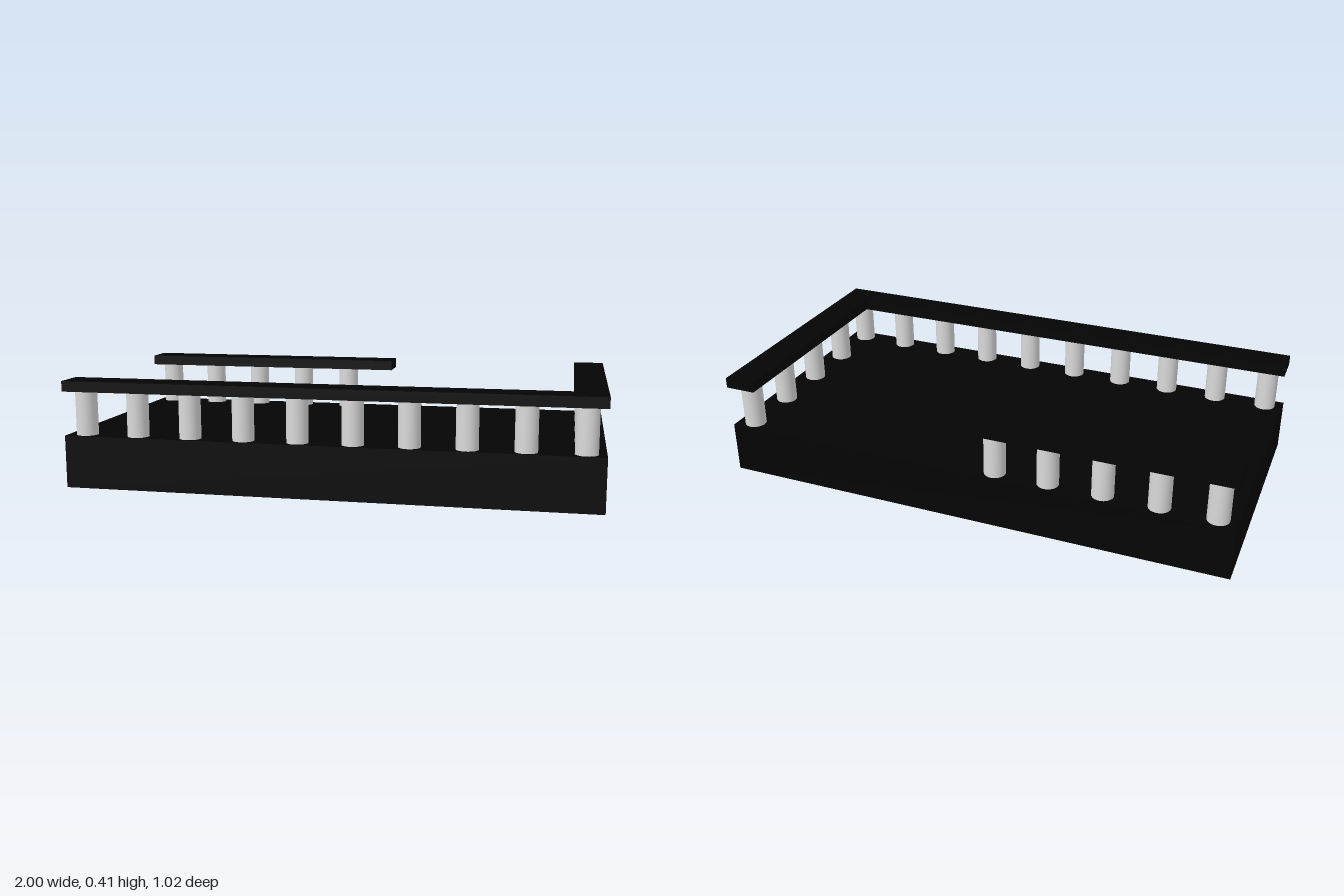
import * as THREE from 'three';

export function createModel() {
  const group = new THREE.Group();
  const black = new THREE.MeshStandardMaterial({ name: 'black', color: 0x040404 });
  const paleGrey = new THREE.MeshStandardMaterial({ name: 'paleGrey', color: 0xd9d9d9 });

  // Box given by its minimum and maximum corners
  const addBox = (name, [x0, y0, z0], [x1, y1, z1]) => {
    const mesh = new THREE.Mesh(new THREE.BoxGeometry(x1 - x0, y1 - y0, z1 - z0), black);
    mesh.name = name;
    mesh.position.set((x0 + x1) / 2, (y0 + y1) / 2, (z0 + z1) / 2);
    group.add(mesh);
  };

  // Floor slab
  addBox('floorSlab', [-1, 0, -0.5], [1, 0.2, 0.5]);

  // Handrails: full front, one side, and half of the back
  const low = 0.37, high = 0.41;
  addBox('frontRail', [-1, low, 0.39], [1, high, 0.51]);
  addBox('sideRail', [0.88, low, -0.51], [1, high, 0.39]);
  addBox('backRail', [-1, low, -0.51], [0.1, high, -0.39]);

  // Round balusters
  const postGeometry = new THREE.CylinderGeometry(0.041, 0.041, low - 0.2, 32);
  const addPost = (name, x, z) => {
    const post = new THREE.Mesh(postGeometry, paleGrey);
    post.name = name;
    post.position.set(x, (low + 0.2) / 2, z);
    group.add(post);
  };
  const step = 1.86 / 9;
  for (let i = 0; i < 10; i++) {
    addPost('frontPost', -0.93 + i * step, 0.45);
    if (i < 5) addPost('backPost', -0.93 + i * step, -0.45);
  }
  for (let i = 0; i < 4; i++) addPost('sidePost', 0.93, 0.225 - i * 0.225);

  return group;
}
